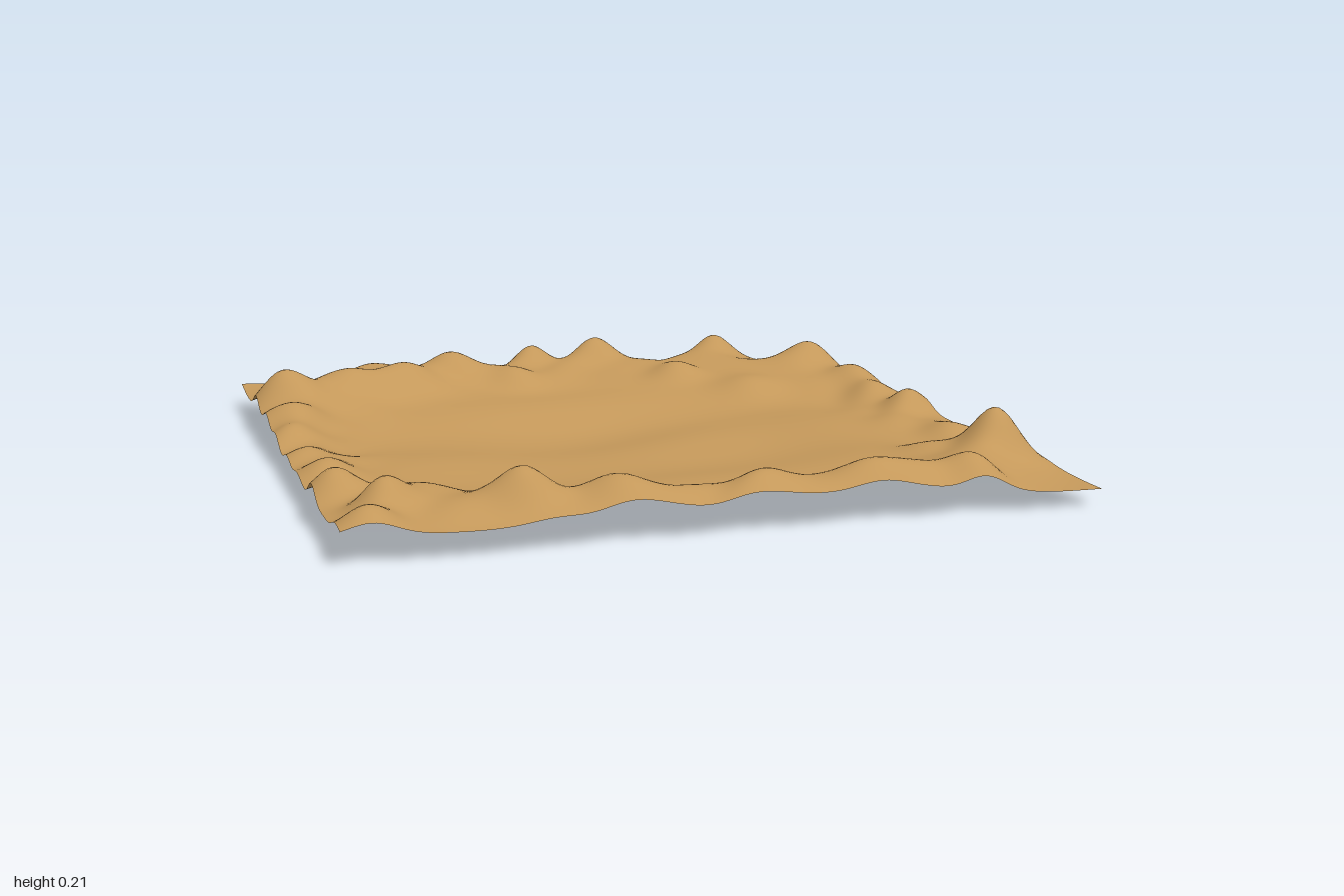
import * as THREE from 'three';

// Mounds along the rim: x, z, height, radius
const leftMounds = [
  [-0.92, -0.61, 0.1, 0.09], [-0.7, -0.66, 0.06, 0.1], [-0.52, -0.73, 0.06, 0.1], [-0.6, -0.93, 0.04, 0.09],
  [-0.95, -0.36, 0.055, 0.1], [-0.94, -0.15, 0.045, 0.09], [-0.93, 0.09, 0.035, 0.09], [-0.92, 0.28, 0.035, 0.09],
  [-0.94, 0.55, 0.07, 0.08], [-0.86, 0.77, 0.065, 0.07], [-0.92, 0.93, 0.06, 0.08], [-0.72, 0.68, 0.025, 0.09],
  [-0.53, 0.86, 0.06, 0.08], [-0.3, 0.91, 0.045, 0.1], [-0.33, -0.87, 0.06, 0.1], [-0.13, -0.73, 0.04, 0.08],
];
const rightMounds = [
  [-0.02, -0.98, 0.075, 0.08], [0.2, -0.97, 0.085, 0.09], [0.39, -0.65, 0.045, 0.08], [0.57, -0.44, 0.03, 0.1],
  [0.62, -0.92, 0.085, 0.08], [0.89, -0.67, 0.09, 0.09], [0.94, -0.43, 0.055, 0.1], [0.93, -0.22, 0.045, 0.09],
  [0.95, -0.03, 0.065, 0.09], [0.84, 0.15, 0.015, 0.1], [0.93, 0.34, 0.025, 0.09], [0.87, 0.67, 0.125, 0.085],
  [0.66, 0.95, 0.065, 0.08], [0.4, 0.93, 0.045, 0.1], [0.08, 0.93, 0.035, 0.11], [0.72, 0.57, 0.025, 0.08],
];
const mounds = [...leftMounds, ...rightMounds];

const gauss = (d, w) => Math.exp(-((d / w) ** 2));
const smooth = THREE.MathUtils.smoothstep;

function heightAt(x, z) {
  const inside = (1 - x ** 4) * (1 - z ** 4);
  // Base ground, a little higher at the left corners and right of the basin
  let y = 0.052 + 0.035 * gauss(x + 1, 0.25) * z ** 4 + 0.022 * gauss(x - 0.65, 0.2) * inside;
  // Shallow basin, deepest a little behind the middle
  y -= 0.036 * gauss(x + 0.08, 0.55) * gauss(z + 0.02, 0.48);
  // Long slope climbing to the back
  y += 0.035 * smooth(-z, 0.2, 0.7) * inside;
  // Gentle ripples, fading out at the border
  y -= 0.008 * inside * Math.cos(11.4 * (z + 0.2) + 0.8 * Math.sin(3 * x));
  y += 0.004 * inside * Math.sin(9 * x + 2 * Math.sin(4 * z));
  // Rounded, lumpy rim: tall at back and front, low at the sides
  const back = smooth(-z, 0, 0.75);
  const front = smooth(z, 0.45, 0.9);
  const r = (Math.abs(x) ** 3.5 + Math.abs(z) ** 3.5) ** (1 / 3.5);
  const rim = gauss(r - 0.91 + 0.04 * back, 0.13 + 0.04 * back);
  const lumps = Math.sin(17 * x + 2 * Math.sin(6 * z)) * Math.sin(16 * z + 2 * Math.sin(7 * x));
  y += rim * (0.018 + 0.04 * back + 0.053 * front + 0.012 * lumps);
  for (const [mx, mz, h, w] of mounds) y += h * gauss(Math.hypot(x - mx, z - mz), w);
  return y;
}

export function createModel() {
  const group = new THREE.Group();
  group.name = 'terrain';

  const geometry = new THREE.PlaneGeometry(2, 2, 140, 140).rotateX(-Math.PI / 2);
  const p = geometry.attributes.position;
  for (let i = 0; i < p.count; i++) p.setY(i, heightAt(p.getX(i), p.getZ(i)));
  geometry.computeBoundingBox();
  geometry.translate(0, -geometry.boundingBox.min.y, 0);
  geometry.computeVertexNormals();

  const sand = new THREE.MeshStandardMaterial({ color: 0xc4985a, side: THREE.DoubleSide });
  const ground = new THREE.Mesh(geometry, sand);
  ground.name = 'sandGround';
  group.add(ground);
  return group;
}
